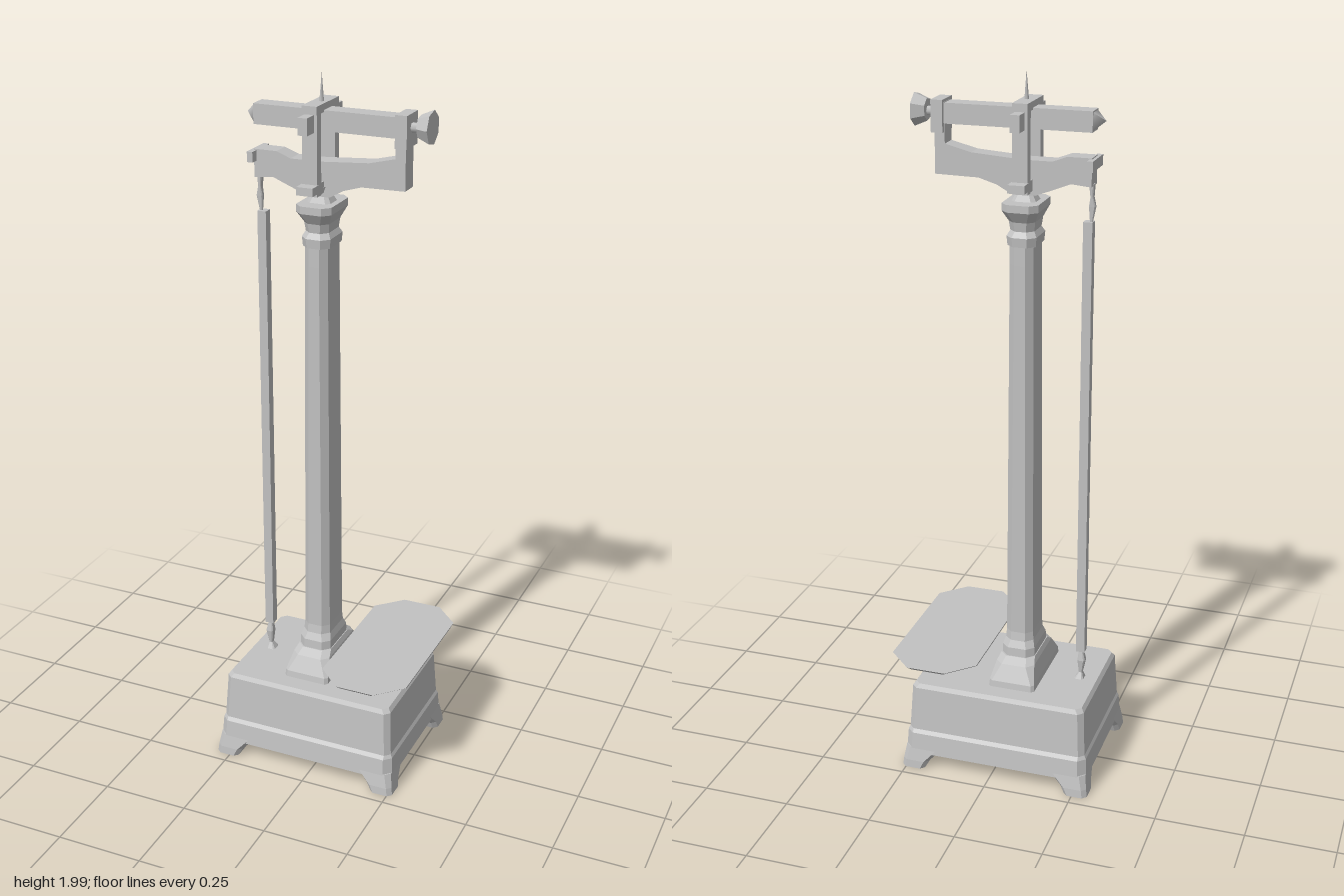
import * as THREE from 'three';

const iron = new THREE.MeshStandardMaterial({ color: 0xc2c2c2 });
iron.name = 'paleIron';
const CX = -0.042; // column axis

// Eight-sided stack of chamfered rectangles: [y, centreX, centreZ, halfX, halfZ, chamfer]
function loft(rings) {
  const pos = [];
  const rows = rings.map(([y, cx, cz, a, b, c]) => [
    [a, b - c], [a, c - b], [a - c, -b], [c - a, -b], [-a, c - b], [-a, b - c], [c - a, b], [a - c, b],
  ].map(([x, z]) => [cx + x, y, cz + z]));
  const tri = (p, q, r) => pos.push(...p, ...q, ...r);
  for (let i = 0; i < rows.length - 1; i++) {
    for (let j = 0; j < 8; j++) {
      const k = (j + 1) % 8, lo = rows[i], hi = rows[i + 1];
      tri(lo[j], lo[k], hi[k]);
      tri(lo[j], hi[k], hi[j]);
    }
  }
  const bottom = rows[0], top = rows[rows.length - 1];
  for (let j = 1; j < 7; j++) {
    tri(top[0], top[j], top[j + 1]);
    tri(bottom[0], bottom[j + 1], bottom[j]);
  }
  const g = new THREE.BufferGeometry();
  g.setAttribute('position', new THREE.Float32BufferAttribute(pos, 3));
  g.computeVertexNormals();
  return g;
}

// Side outline in x and y, extruded through z about the centre
function plate(points, depth) {
  const shape = new THREE.Shape(points.map(([x, y]) => new THREE.Vector2(x, y)));
  return new THREE.ExtrudeGeometry(shape, { depth, bevelEnabled: false }).translate(0, 0, -depth / 2);
}

export function createModel() {
  const model = new THREE.Group();
  model.name = 'columnScale';
  const add = (name, geometry, x = 0, y = 0, z = 0) => {
    const mesh = new THREE.Mesh(geometry, iron);
    mesh.name = name;
    mesh.position.set(x, y, z);
    model.add(mesh);
    return mesh;
  };
  const box = (name, w, h, d, x, y, z = 0) => add(name, new THREE.BoxGeometry(w, h, d), x, y, z);

  // Tapered base housing with a flared skirt
  add('base', loft([
    [0.06, -0.015, 0, 0.27, 0.212, 0.02],
    [0.12, -0.015, 0, 0.267, 0.205, 0.02],
    [0.13, -0.015, 0, 0.262, 0.197, 0.015],
    [0.26, -0.015, 0, 0.255, 0.187, 0.015],
    [0.272, -0.015, 0, 0.247, 0.18, 0.015],
  ]));

  // Bracket feet, one at each corner
  for (const sx of [-1, 1]) for (const sz of [-1, 1]) {
    add('foot', loft([
      [0.012, -0.015 + sx * 0.244, sz * 0.186, 0.034, 0.034, 0.012],
      [0.035, -0.015 + sx * 0.237, sz * 0.18, 0.038, 0.038, 0.012],
      [0.075, -0.015 + sx * 0.214, sz * 0.155, 0.055, 0.055, 0.015],
    ]));
  }

  // Column plinth, shaft and flared capital
  add('plinth', loft([
    [0.265, CX, 0, 0.068, 0.132, 0.008],
    [0.29, CX, 0, 0.066, 0.128, 0.008],
    [0.335, CX, 0, 0.056, 0.105, 0.02],
    [0.35, CX, 0, 0.05, 0.08, 0.02],
  ]));
  add('column', loft([
    [0.345, CX, 0, 0.048, 0.078, 0.02],
    [0.375, CX, 0, 0.047, 0.076, 0.02],
    [0.395, CX, 0, 0.041, 0.066, 0.02],
    [0.42, CX, 0, 0.039, 0.062, 0.018],
    [1.5, CX, 0, 0.033, 0.056, 0.018],
    [1.56, CX, 0, 0.033, 0.055, 0.018],
  ]));
  add('capital', loft([
    [1.55, CX, 0, 0.039, 0.058, 0.02],
    [1.575, CX, 0, 0.041, 0.06, 0.02],
    [1.59, CX, 0, 0.033, 0.05, 0.018],
    [1.615, CX, 0, 0.036, 0.054, 0.018],
    [1.645, CX, 0, 0.05, 0.074, 0.02],
    [1.665, CX, 0, 0.05, 0.074, 0.02],
  ]));
  add('capitalStem', loft([
    [1.66, CX, 0, 0.036, 0.034, 0.012],
    [1.685, CX, 0, 0.022, 0.022, 0.008],
    [1.71, CX, 0, 0.026, 0.03, 0.008],
  ]));

  // Shallow weighing pan on a short stalk
  add('pan', loft([
    [0.345, 0.166, 0, 0.07, 0.17, 0.045],
    [0.357, 0.166, 0, 0.122, 0.25, 0.075],
    [0.368, 0.166, 0, 0.126, 0.262, 0.07],
  ]));
  add('panStalk', loft([
    [0.265, 0.165, 0, 0.034, 0.04, 0.012],
    [0.285, 0.165, 0, 0.016, 0.02, 0.006],
    [0.32, 0.165, 0, 0.016, 0.02, 0.006],
    [0.35, 0.165, 0, 0.036, 0.06, 0.012],
  ]));

  // Pull rod with pointed hooks at both ends
  box('pullRod', 0.025, 1.26, 0.026, -0.213, 0.99);
  add('lowerHook', loft([
    [0.27, -0.21, 0, 0.014, 0.018, 0.005],
    [0.29, -0.213, 0, 0.005, 0.007, 0.002],
    [0.33, -0.215, 0, 0.011, 0.012, 0.004],
    [0.365, -0.213, 0, 0.005, 0.006, 0.002],
  ]));
  add('upperHook', loft([
    [1.615, -0.219, 0, 0.003, 0.003, 0.001],
    [1.66, -0.222, 0, 0.009, 0.007, 0.003],
    [1.685, -0.221, 0, 0.004, 0.008, 0.002],
    [1.72, -0.22, 0, 0.007, 0.01, 0.003],
  ]));

  // Lower frame arm rising into an upright at the right
  add('lowerBeam', plate([
    [-0.225, 1.715], [-0.17, 1.72], [-0.12, 1.7], [-0.075, 1.683], [-0.01, 1.683],
    [0.03, 1.705], [0.08, 1.72], [0.2, 1.722], [0.2, 1.91], [0.172, 1.91],
    [0.172, 1.803], [0.1, 1.785], [-0.04, 1.775], [-0.12, 1.775], [-0.16, 1.79], [-0.225, 1.79],
  ], 0.052));
  box('beamTip', 0.016, 0.028, 0.1, -0.226, 1.773);

  // Upper balance beam and its pointed tip
  box('balanceBeam', 0.41, 0.054, 0.052, -0.02, 1.882);
  const tip = add('balanceTip', new THREE.ConeGeometry(0.036, 0.032, 4).rotateY(Math.PI / 4), -0.238, 1.882, 0);
  tip.rotation.z = Math.PI / 2;
  box('uprightCollar', 0.032, 0.085, 0.075, 0.19, 1.875);

  // Counterweight
  const spindle = add('counterweightSpindle', new THREE.CylinderGeometry(0.013, 0.013, 0.06, 6), 0.222, 1.882, 0);
  spindle.rotation.z = Math.PI / 2;
  const weight = add('counterweight', new THREE.CylinderGeometry(0.03, 0.045, 0.034, 7).toNonIndexed(), 0.244, 1.885, 0);
  weight.rotation.z = Math.PI / 2;
  weight.geometry.computeVertexNormals();

  // Central fork that straddles both beams
  for (const s of [-1, 1]) {
    box('forkCheek', 0.042, 0.225, 0.026, CX - 0.004, 1.805, s * 0.056);
    box('forkFoot', 0.046, 0.022, 0.04, CX - 0.004, 1.713, s * 0.082);
    box('pivotBlock', 0.026, 0.045, 0.046, CX - 0.004, 1.882, s * 0.088);
  }
  box('forkCap', 0.042, 0.022, 0.138, CX - 0.004, 1.915);
  box('forkFloor', 0.042, 0.03, 0.138, CX - 0.004, 1.71);
  add('finial', new THREE.ConeGeometry(0.007, 0.08, 5), CX, 1.96, 0);

  return model;
}
